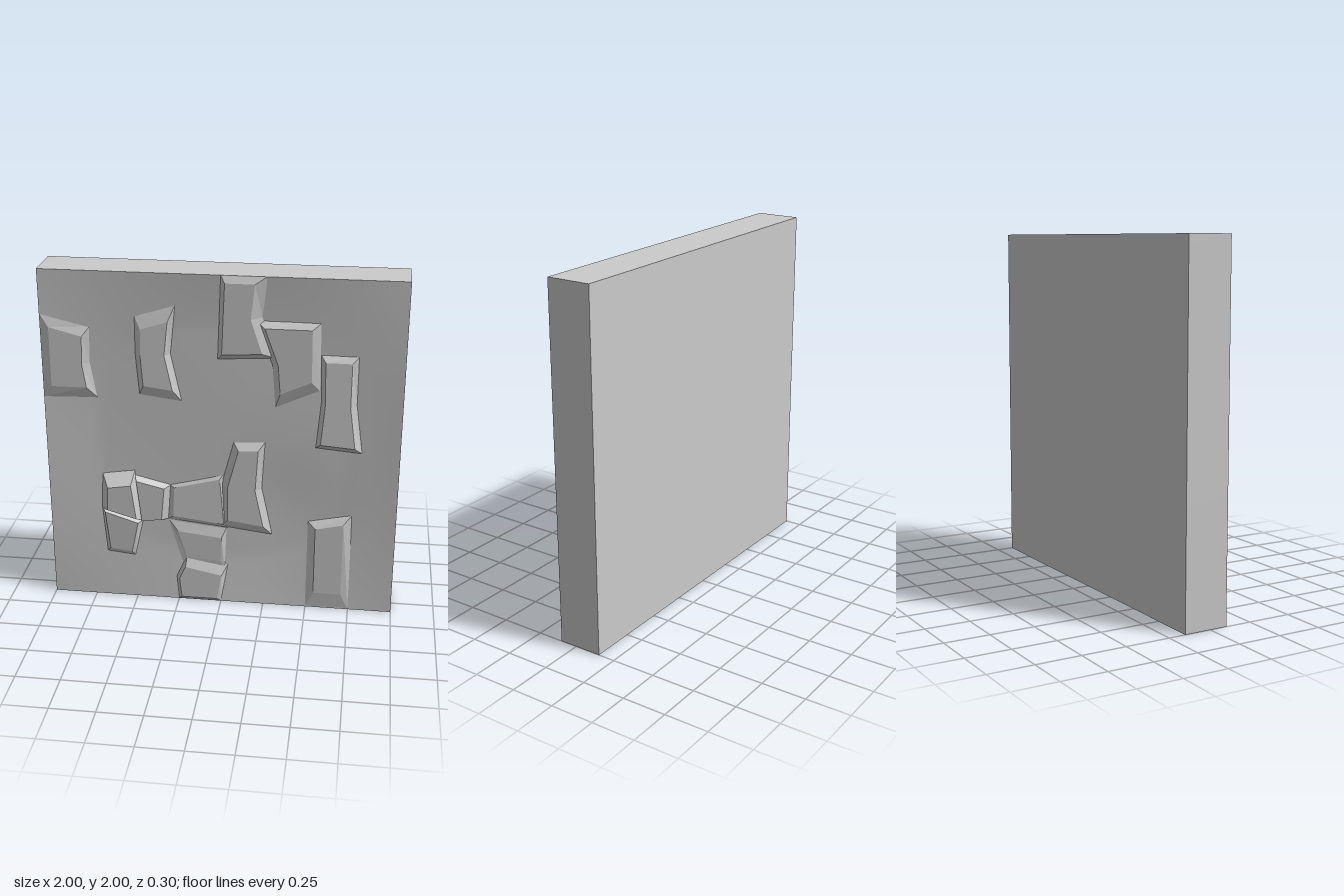
import * as THREE from 'three';

const BACK = -0.153;
const FRONT = 0.1;

// Hollowed plaster: flush at the rim, sunken inside, deepest right of the lower middle
function surfaceZ(x, y) {
  const rim = Math.max(0, (1 - x * x) * (1 - (y - 1) ** 2));
  const wave = 0.8 + 0.2 * Math.sin(3.2 * x + 0.6) * Math.cos(2.8 * y);
  const dip = Math.exp(-((x - 0.35) ** 2 + (y - 0.65) ** 2) / 0.1);
  return FRONT - Math.min(1, rim * 2) * (0.028 * wave + 0.014 * dip);
}

function makeSlab(material) {
  const depth = FRONT - BACK;
  const geo = new THREE.BoxGeometry(2, 2, depth, 40, 40, 1);
  geo.translate(0, 1, BACK + depth / 2);
  const p = geo.attributes.position;
  for (let i = 0; i < p.count; i++) {
    if (p.getZ(i) > 0) p.setZ(i, surfaceZ(p.getX(i), p.getY(i)));
  }
  geo.computeVertexNormals();
  const mesh = new THREE.Mesh(geo, material);
  mesh.name = 'wallSlab';
  return mesh;
}

// Moves every edge of an anticlockwise outline inwards by the width for its direction
function inset(outline, [left, right, bottom, top]) {
  const edges = outline.map((a, i) => {
    const d = outline[(i + 1) % outline.length].clone().sub(a).normalize();
    const upright = Math.abs(d.y) > Math.abs(d.x);
    const w = upright ? (d.y > 0 ? right : left) : (d.x > 0 ? bottom : top);
    return { x: -d.y, y: d.x, w };
  });
  return outline.map((v, i) => {
    const a = edges[(i + edges.length - 1) % edges.length];
    const b = edges[i];
    const det = a.x * b.y - a.y * b.x;
    return new THREE.Vector2(
      v.x + (a.w * b.y - b.w * a.y) / det,
      v.y + (a.x * b.w - b.x * a.w) / det,
    );
  });
}

// Bevelled stone with a face leaning from zBottom to zTop; bevel is left, right, bottom, top;
// corners run bottom left, bottom right, top right, top left;
// leftBow and rightBow shift the middle of each upright side along x
function makeBrick(material, name, [zBottom, zTop], bevel, corners, leftBow = 0, rightBow = 0) {
  const [bl, br, tr, tl] = corners.map(([x, y]) => new THREE.Vector2(x, y));
  const middle = (a, b, bow) => {
    if (bow === 0) return [];
    const m = a.clone().lerp(b, 0.5);
    m.x += bow;
    return [m];
  };
  const outer = [bl, br, ...middle(br, tr, rightBow), tr, tl, ...middle(tl, bl, leftBow)];
  const inner = inset(outer, bevel);

  const verts = [];
  const low = (v) => [v.x, v.y, surfaceZ(v.x, v.y) - 0.001];
  const high = (v) => [v.x, v.y, THREE.MathUtils.mapLinear(v.y, bl.y, tl.y, zBottom, zTop)];
  outer.forEach((v, i) => {
    const j = (i + 1) % outer.length;
    verts.push(...low(v), ...low(outer[j]), ...high(inner[j]));
    verts.push(...low(v), ...high(inner[j]), ...high(inner[i]));
  });
  for (const face of THREE.ShapeUtils.triangulateShape(inner, [])) {
    for (const k of face) verts.push(...high(inner[k]));
  }
  const geo = new THREE.BufferGeometry();
  geo.setAttribute('position', new THREE.Float32BufferAttribute(verts, 3));
  geo.computeVertexNormals();
  const mesh = new THREE.Mesh(geo, material);
  mesh.name = name;
  return mesh;
}

export function createModel() {
  const group = new THREE.Group();
  group.name = 'stoneWallPanel';
  const plaster = new THREE.MeshStandardMaterial({ color: 0xcccccc });
  const stone = new THREE.MeshStandardMaterial({ color: 0xcccccc, flatShading: true });
  group.add(makeSlab(plaster));
  const brick = (...spec) => group.add(makeBrick(stone, ...spec));

  // Upper half
  brick('leftEdgeBrick', [0.113, 0.113], [0.05, 0.04, 0.07, 0.06],
    [[-1, 1.26], [-0.7, 1.26], [-0.725, 1.68], [-1, 1.75]], 0, -0.02);
  brick('upperLeftBrick', [0.118, 0.107], [0.035, 0.03, 0.07, 0.075],
    [[-0.46, 1.29], [-0.22, 1.26], [-0.25, 1.82], [-0.475, 1.75]], -0.01, -0.045);
  brick('topEdgeBrick', [0.112, 0.118], [0.025, 0.06, 0.035, 0.04],
    [[-0.02, 1.52], [0.3, 1.54], [0.25, 2], [0, 2]], 0, -0.05);
  brick('upperRightBrick', [0.102, 0.11], [0.035, 0.045, 0.07, 0.035],
    [[0.3, 1.25], [0.545, 1.36], [0.54, 1.75], [0.19, 1.75]], 0.035);
  brick('rightTallBrick', [0.128, 0.106], [0.025, 0.035, 0.04, 0.035],
    [[0.53, 1.02], [0.79, 1], [0.75, 1.57], [0.545, 1.57]], 0.015, -0.02);

  // Lower half
  brick('centreTallBrick', [0.106, 0.108], [0.04, 0.035, 0.06, 0.045],
    [[0, 0.49], [0.295, 0.45], [0.25, 1.04], [0.07, 1.03]], -0.035, -0.04);
  brick('centreLowBrick', [0.095, 0.09], [0.03, 0.02, 0.03, 0.02],
    [[-0.31, 0.52], [0.04, 0.48], [0.01, 0.82], [-0.3, 0.74]]);
  brick('clusterInnerBrick', [0.115, 0.115], [0.01, 0.035, 0.012, 0.02],
    [[-0.47, 0.5], [-0.31, 0.52], [-0.29, 0.74], [-0.5, 0.79]]);
  brick('clusterTopBrick', [0.147, 0.15], [0.045, 0.022, 0.03, 0.065],
    [[-0.7, 0.57], [-0.46, 0.5], [-0.5, 0.82], [-0.69, 0.79]]);
  brick('clusterBottomBrick', [0.105, 0.122], [0.024, 0.022, 0.03, 0.01],
    [[-0.675, 0.29], [-0.51, 0.27], [-0.46, 0.5], [-0.7, 0.58]]);
  brick('lowerMiddleBrick', [0.085, 0.095], [0.035, 0.025, 0.06, 0.065],
    [[-0.22, 0.22], [0.02, 0.2], [0.03, 0.48], [-0.31, 0.52]]);
  brick('bottomEdgeBrick', [0.112, 0.108], [0.02, 0.025, 0.02, 0.07],
    [[-0.25, 0], [0, 0], [0.04, 0.24], [-0.2, 0.29]], -0.04);
  brick('lowerRightBrick', [0.108, 0.108], [0.045, 0.045, 0.1, 0.04],
    [[0.5, 0], [0.75, 0], [0.75, 0.61], [0.5, 0.55]]);
  return group;
}
